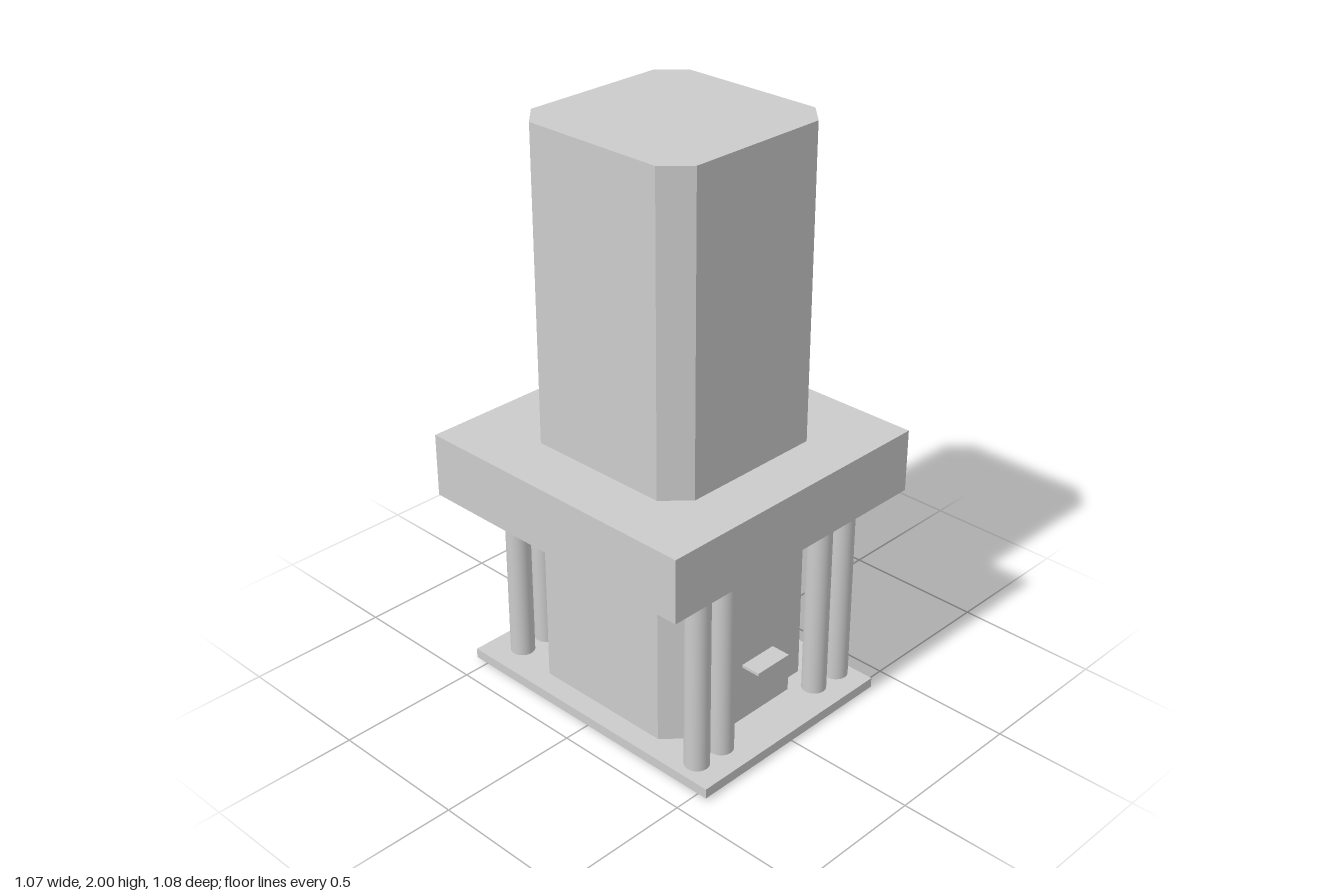
import * as THREE from 'three';

const material = new THREE.MeshStandardMaterial({ color: 0xcccccc });

export function createModel() {
  const model = new THREE.Group();
  const floorY = 0.045, capBottom = 0.715, ceilingY = 0.785, capTop = 0.935;

  function add(name, geometry, x = 0, y = 0, z = 0) {
    const mesh = new THREE.Mesh(geometry, material);
    mesh.name = name;
    mesh.position.set(x, y, z);
    model.add(mesh);
    return mesh;
  }

  // Box given by its minimum and maximum corners
  function box(name, [x0, y0, z0], [x1, y1, z1]) {
    return add(name, new THREE.BoxGeometry(x1 - x0, y1 - y0, z1 - z0),
      (x0 + x1) / 2, (y0 + y1) / 2, (z0 + z1) / 2);
  }

  const shapeOf = (points) => new THREE.Shape(points.map(([x, y]) => new THREE.Vector2(x, y)));

  // Extrude a plan outline (x, -z) upwards between two heights
  function extrudeUp(name, shape, y0, y1) {
    const geometry = new THREE.ExtrudeGeometry(shape, { depth: y1 - y0, bevelEnabled: false });
    geometry.rotateX(-Math.PI / 2);
    return add(name, geometry, 0, y0, 0);
  }

  const rectangle = (x0, y0, x1, y1) => [[x0, y0], [x1, y0], [x1, y1], [x0, y1]];

  // Square plan with cut corners
  const half = 0.338, cut = 0.257;
  const octagon = [
    [cut, half], [half, cut], [half, -cut], [cut, -half],
    [-cut, -half], [-half, -cut], [-half, cut], [-cut, half],
  ];

  // Base plate
  box('basePlate', [-0.415, 0.01, -0.542], [0.398, floorY, 0.542]);

  // Hollow lower room: thin wall, open at the back between the door jambs
  const gap = 0.14, inner = 0.97;
  const outside = [[gap, half], ...octagon, [-gap, half]];
  const inside = [[gap, half * inner],
    ...octagon.map(([x, y]) => [x * inner, y * inner]), [-gap, half * inner]];
  extrudeUp('lowerWall', shapeOf([...outside, ...inside.reverse()]), floorY, ceilingY);

  // Back door frame with an open passage
  const frame = new THREE.ExtrudeGeometry(shapeOf([
    [-0.155, floorY], [-0.112, floorY], [-0.112, 0.575], [0.112, 0.575],
    [0.112, floorY], [0.155, floorY], [0.155, ceilingY], [-0.155, ceilingY],
  ]), { depth: 0.125, bevelEnabled: false });
  add('backDoorFrame', frame, 0, 0, -0.38);

  // Front panel and its small ledge
  box('frontPanel', [-0.155, floorY, 0.33], [0.155, ceilingY, 0.38]);
  box('frontLedge', [-0.075, 0.251, 0.37], [0.072, 0.261, 0.45]);

  // Columns in pairs; one back column reaches through the plate
  function column(name, x, z, bottom = floorY) {
    const height = ceilingY - bottom;
    add(name, new THREE.CylinderGeometry(0.042, 0.042, height, 32), x, bottom + height / 2, z);
  }
  for (const x of [-0.34, -0.228, 0.228, 0.34]) column('frontColumn', x, 0.432);
  for (const x of [-0.302, 0.218, 0.33]) column('backColumn', x, -0.43);
  column('backColumn', -0.192, -0.43, 0);

  // Cap slab with a rim hanging around a shallow recess
  box('capSlab', [-0.537, ceilingY, -0.538], [0.537, capTop, 0.528]);
  const rim = shapeOf(rectangle(-0.537, -0.528, 0.537, 0.538));
  rim.holes.push(new THREE.Path(
    rectangle(-0.487, -0.478, 0.487, 0.488).reverse().map(([x, y]) => new THREE.Vector2(x, y))));
  extrudeUp('capRim', rim, capBottom, ceilingY);

  // Upper tower
  extrudeUp('upperTower', shapeOf(octagon), capTop - 0.05, 2);

  return model;
}
